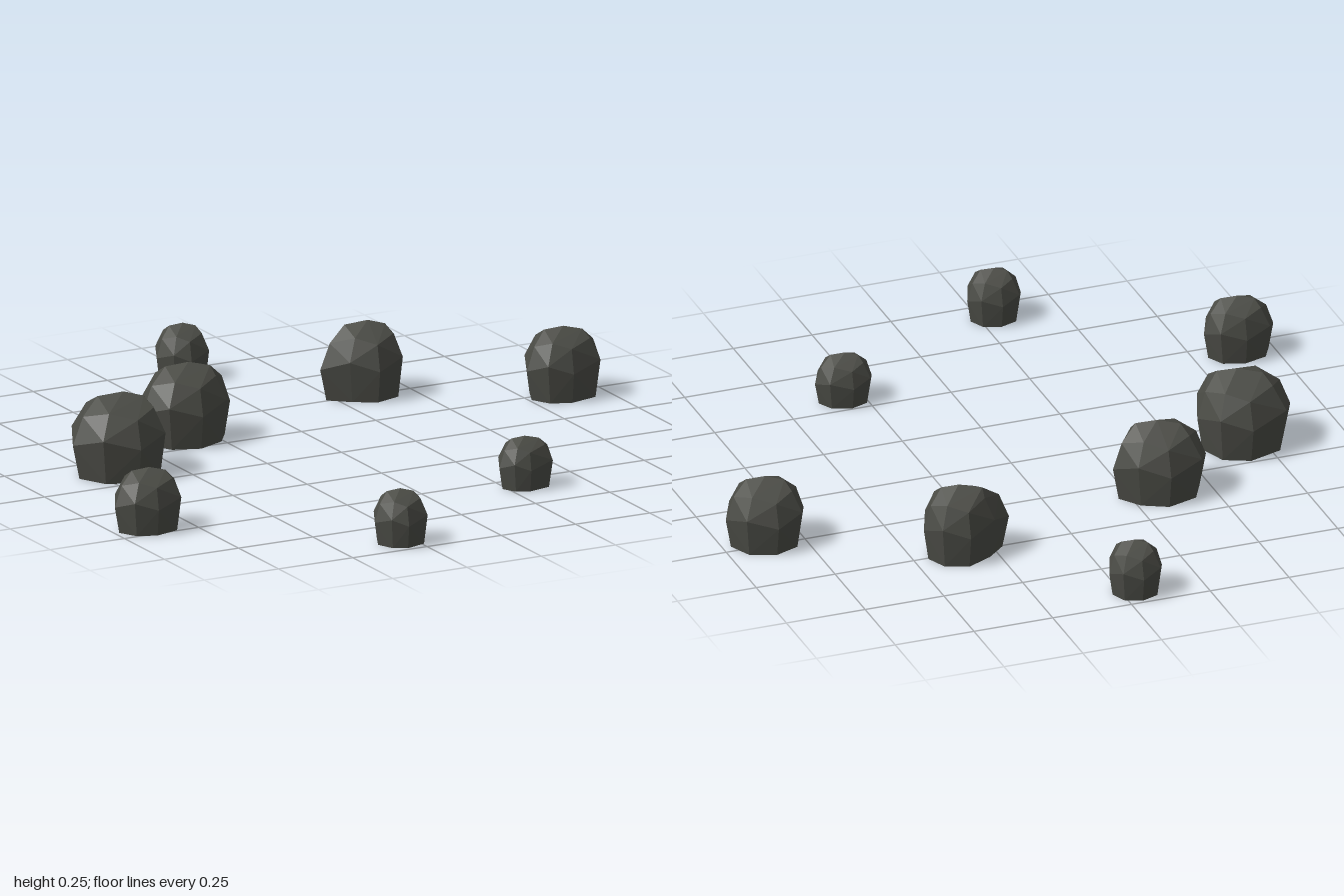
import * as THREE from 'three';
import { ConvexGeometry } from 'three/addons/geometries/ConvexGeometry.js';

// Each boulder: height, peak, extents, and how full its +x and -x corners are
const ROCKS = [
  { h: 0.17, peak: [-0.04, -0.92], x: [-0.127, 0.04], z: [-1, -0.835] },
  { h: 0.23, peak: [0.36, -0.505], x: [0.2, 0.47], z: [-0.61, -0.4], west: 0.15 },
  { h: 0.24, peak: [-0.335, -0.335], x: [-0.49, -0.195], z: [-0.455, -0.215], east: 0.25 },
  { h: 0.25, peak: [-0.67, -0.12], x: [-0.84, -0.545], z: [-0.26, 0.02] },
  { h: 0.215, peak: [0.865, -0.22], x: [0.743, 0.99], z: [-0.335, -0.125] },
  { h: 0.19, peak: [-0.885, 0.44], x: [-1, -0.78], z: [0.355, 0.53] },
  { h: 0.155, peak: [0.31, 0.57], x: [0.225, 0.405], z: [0.495, 0.64] },
  { h: 0.165, peak: [-0.295, 0.915], x: [-0.38, -0.21], z: [0.84, 1] },
];

// Faceted hull: flat base, bulging waist, sloping shoulders and a peak
function rockGeometry({ h, peak: [px, pz], x, z, east = 0.42, west = 0.42 }) {
  const points = [new THREE.Vector3(px, h, pz)];
  const add = (dx, dz, scale, y) =>
    points.push(new THREE.Vector3(px + dx * scale, y * h, pz + dz * scale));

  // Four outermost points around the waist
  const sides = [[x[1] - px, 0], [-0.015, z[1] - pz], [x[0] - px, 0], [0, z[0] - pz]];
  sides.forEach(([dx, dz]) => {
    add(dx, dz, 0.87, 0);
    add(dx, dz, 1, 0.42);
    add(dx, dz, 0.8, 0.76);
  });

  // Four corners between them, pushed out by the fullness of their side
  for (const [ex, full] of [[x[1] - px, east], [x[0] - px, west]]) {
    for (const ez of [z[0] - pz, z[1] - pz]) {
      const reach = 0.5 + full / 2;
      const dx = ex * reach, dz = ez * reach;
      add(dx, dz, 0.87, 0);
      add(dx, dz, 1, 0.54);
      add(dx, dz, 0.72, 0.84);
    }
  }

  // Two crown points on opposite sides of the peak
  add((x[1] - px) * 0.6, (z[1] - pz) * 0.3, 0.7, 0.95);
  add((x[0] - px) * 0.6, (z[0] - pz) * 0.3, 0.7, 0.95);
  return new ConvexGeometry(points);
}

export function createModel() {
  const group = new THREE.Group();
  group.name = 'boulderRing';
  const stone = new THREE.MeshStandardMaterial({ color: 0x4a4b45 });
  stone.name = 'dark stone';
  ROCKS.forEach((rock, i) => {
    const mesh = new THREE.Mesh(rockGeometry(rock), stone);
    mesh.name = `boulder${i + 1}`;
    group.add(mesh);
  });
  return group;
}
